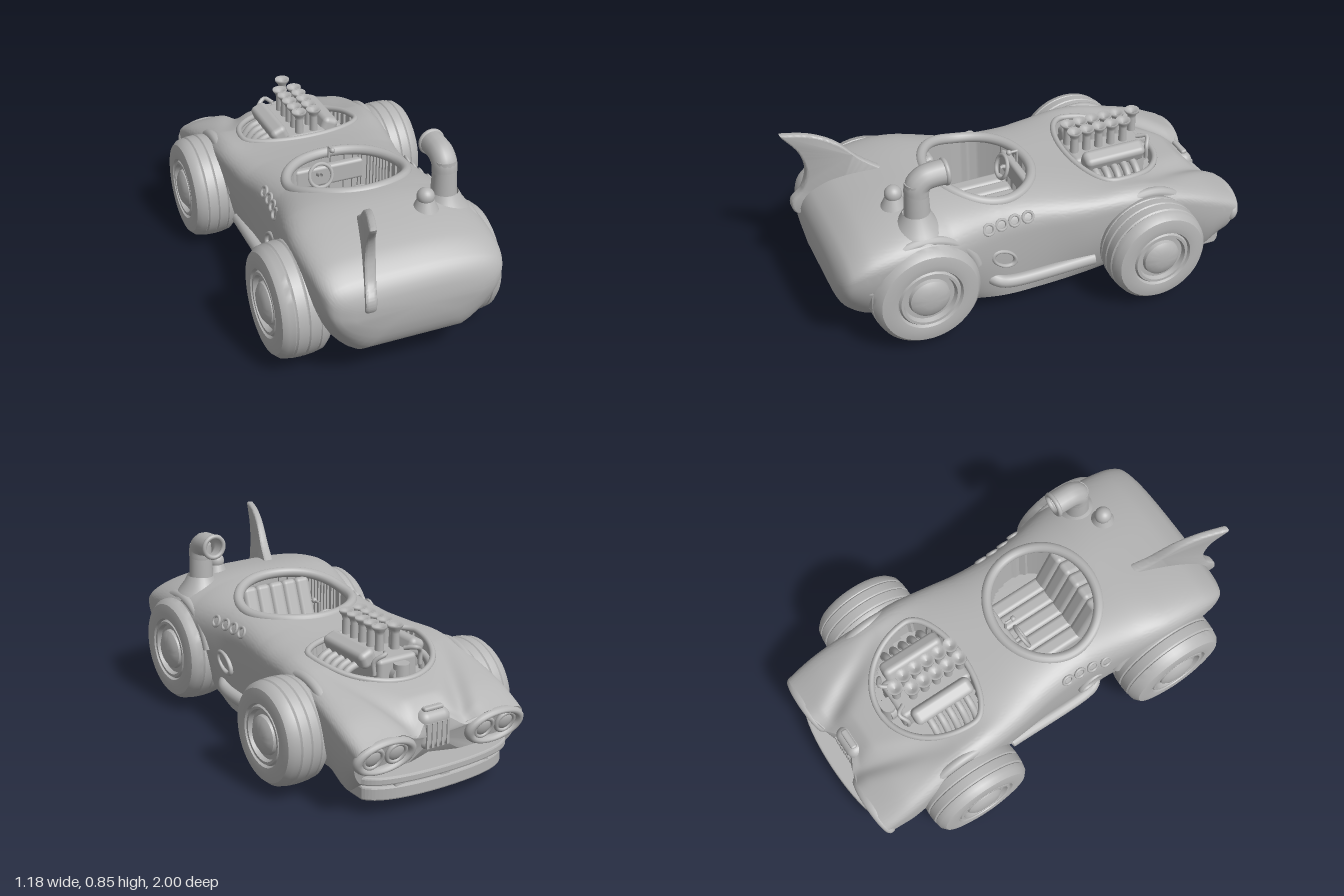
import * as THREE from 'three';
import { toCreasedNormals } from 'three/addons/utils/BufferGeometryUtils.js';
import { RoundedBoxGeometry } from 'three/addons/geometries/RoundedBoxGeometry.js';

const grey = new THREE.MeshStandardMaterial({ color: 0xb4b4b4, side: THREE.DoubleSide });
grey.name = 'plainGrey';
const V = (x, y, z) => new THREE.Vector3(x, y, z);
const { clamp, lerp } = THREE.MathUtils;

function add(parent, name, geometry, x = 0, y = 0, z = 0) {
  const m = new THREE.Mesh(geometry, grey);
  m.name = name;
  m.position.set(x, y, z);
  parent.add(m);
  return m;
}
const tube = (pts, r, closed = false, n = 48) =>
  new THREE.TubeGeometry(new THREE.CatmullRomCurve3(pts, closed), n, r, 14, closed);

// Hull stations: z, half width, bottom half width, bottom y, shoulder y, crown y
const HULL = [
  [-0.95, 0.43, 0.37, 0.15, 0.27, 0.355], [-0.8, 0.435, 0.37, 0.085, 0.32, 0.43],
  [-0.6, 0.425, 0.31, 0.08, 0.39, 0.488], [-0.4, 0.422, 0.31, 0.08, 0.41, 0.525],
  [-0.2, 0.4, 0.33, 0.08, 0.4, 0.543], [0, 0.372, 0.34, 0.08, 0.4, 0.568],
  [0.2, 0.372, 0.34, 0.085, 0.4, 0.595], [0.45, 0.42, 0.28, 0.09, 0.43, 0.63],
  [0.6, 0.435, 0.25, 0.09, 0.46, 0.622], [0.8, 0.425, 0.24, 0.11, 0.45, 0.575],
  [0.9, 0.4, 0.22, 0.17, 0.42, 0.515], [0.935, 0.36, 0.19, 0.23, 0.38, 0.47],
  [0.95, 0.29, 0.14, 0.29, 0.36, 0.43],
];
// Smooth interpolation between the stations
function station(z) {
  let i = 0;
  while (i < HULL.length - 2 && z > HULL[i + 1][0]) i++;
  const a = HULL[i], b = HULL[i + 1], h = b[0] - a[0], s = clamp((z - a[0]) / h, 0, 1);
  const p = HULL[i - 1] || a, q = HULL[i + 2] || b;
  return a.slice(1).map((v, k) => {
    const c = k + 1, w = b[c];
    const m0 = (w - p[c]) / (b[0] - p[0]) * h, m1 = (q[c] - v) / (q[0] - a[0]) * h;
    const s2 = s * s, s3 = s2 * s;
    return (2 * s3 - 3 * s2 + 1) * v + (s3 - 2 * s2 + s) * m0 + (3 * s2 - 2 * s3) * w + (s3 - s2) * m1;
  });
}
// Height of the upper skin: squarer over the front wheels and the rear right fender,
// with a bump over each front wheel and valleys converging on the nose
function topY(x, z) {
  const [w, , , ys, yt] = station(z);
  const t = Math.min(1, Math.abs(x / w));
  const fore = 3.3 + 1.2 * clamp((-z - 0.1) / 0.25, 0, 1);
  const p = lerp(fore, x < 0 ? 4.2 : 2.4, clamp((z - 0.2) / 0.25, 0, 1));
  const nose = clamp((-0.5 - z) / 0.4, 0, 1);
  const valley = 0.042 * nose * Math.exp(-(((t - lerp(0.72, 0.3, nose)) / 0.12) ** 2));
  const bump = 0.018 * Math.exp(-(((z + 0.48) / 0.16) ** 2) - ((t - 0.88) / 0.14) ** 2);
  return ys + (yt - ys) * Math.pow(1 - t ** p, 1 / p) - valley + bump * (1 - t ** 12);
}
const bayDepth = (z) => (z < -0.38 ? 0.315 : 0.125);
const inCockpit = (x, z) => (x / 0.27) ** 2 + ((z - 0.18) / 0.24) ** 2 < 1;
const inBay = (x, z) => (x / 0.285) ** 2 + ((z + 0.38) / bayDepth(z)) ** 2 < 1;

function hullRing(z) {
  const [w, b, y0, ys] = station(z), pts = [];
  const side = (s) => [b + (w - b) * Math.sin((s * Math.PI) / 2) ** 0.9, y0 + (ys - y0) * s ** 1.15];
  for (let i = 0; i < 8; i++) pts.push([-b + (2 * b * i) / 8, y0]);
  for (let i = 0; i < 10; i++) pts.push(side(i / 10));
  for (let i = 0; i <= 90; i++) {
    const x = w * Math.cos((Math.PI * i) / 90);
    pts.push([x, inCockpit(x, z) ? 0.29 : inBay(x, z) ? 0.39 : topY(x, z)]);
  }
  for (let i = 9; i >= 0; i--) { const [x, y] = side(i / 10); pts.push([-x, y]); }
  // the nose leans back at the bottom and is notched for the grille
  const k = clamp((-0.8 - z) / 0.15, 0, 1);
  return pts.map(([x, y]) => [x, y, z + k * (0.3 * Math.max(0, 0.34 - y) + 0.06 * Math.exp(-((x / 0.1) ** 4)))]);
}
function hullGeometry() {
  const pos = [], idx = [], rows = 160;
  let n = 0;
  for (let i = 0; i <= rows; i++) {
    const ring = hullRing(-0.95 + (1.9 * i) / rows);
    n = ring.length;
    ring.forEach((p) => pos.push(...p));
  }
  const front = (rows + 1) * n, back = front + 1;
  pos.push(0, 0.27, -0.89, 0, 0.36, 0.953);
  for (let j = 0; j < n; j++) {
    const k = (j + 1) % n;
    for (let i = 0; i < rows; i++) {
      const a = i * n + j, b = i * n + k;
      idx.push(a, b, b + n, a, b + n, a + n);
    }
    idx.push(front, k, j, back, rows * n + j, rows * n + k);
  }
  const g = new THREE.BufferGeometry();
  g.setAttribute('position', new THREE.Float32BufferAttribute(pos, 3));
  g.setIndex(idx);
  return toCreasedNormals(g, 0.7);
}

// Grooved tyre with a dished rim and domed hub, axle along y
function wheelGeometry(r, half) {
  const p = [[0, -0.8], [0.5, -0.9], [0.72, -1], [0.88, -0.92], [0.96, -0.72], [0.98, -0.5], [0.965, -0.46],
    [0.99, -0.4], [1, -0.05], [0.98, 0], [1, 0.05], [0.99, 0.4], [0.965, 0.46], [0.98, 0.5], [0.96, 0.72],
    [0.88, 0.92], [0.72, 1], [0.6, 0.96], [0.57, 0.84], [0.54, 0.94], [0.49, 0.94], [0.46, 0.76],
    [0.38, 0.76], [0.36, 0.9], [0.28, 1.02], [0.15, 1.08], [0, 1.1]];
  return toCreasedNormals(new THREE.LatheGeometry(p.map(([a, b]) => new THREE.Vector2(a * r, b * half)), 48), 0.6);
}

function buildEngine(car) {
  const engine = new THREE.Group();
  engine.name = 'engine';
  car.add(engine);
  add(engine, 'engineBlock', new RoundedBoxGeometry(0.2, 0.16, 0.36, 3, 0.02), 0, 0.46, -0.45);
  const trumpet = new THREE.LatheGeometry([[0.02, 0], [0.018, 0.07], [0.022, 0.085], [0.034, 0.1], [0.034, 0.11], [0.02, 0.1], [0, 0.09]]
    .map(([a, b]) => new THREE.Vector2(a, b)), 16);
  for (const s of [-1, 1]) {
    add(engine, 'valveCover', new RoundedBoxGeometry(0.08, 0.08, 0.3, 3, 0.025), s * 0.125, 0.54, -0.445).rotation.z = -s * 0.4;
    for (let i = 0; i < 5; i++) {
      add(engine, 'intakeTrumpet', trumpet, s * 0.036, 0.55, -0.29 - i * 0.062);
      const z = -0.34 - i * 0.048;
      add(engine, 'exhaustHeader', tube([V(s * 0.13, 0.51, z), V(s * 0.19, 0.49, z), V(s * 0.23, 0.44, z), V(s * 0.24, 0.39, z)], 0.017, false, 12));
    }
    add(engine, 'fuelLine', tube([V(s * 0.05, 0.56, -0.6), V(s * 0.08, 0.57, -0.64), V(s * 0.12, 0.54, -0.62), V(s * 0.12, 0.48, -0.62)], 0.01, false, 16));
  }
  add(engine, 'frontTrumpet', trumpet, 0, 0.57, -0.6);
  add(engine, 'distributor', new THREE.CylinderGeometry(0.035, 0.04, 0.12, 18), 0, 0.46, -0.65);
  add(engine, 'frontPulley', new THREE.CylinderGeometry(0.05, 0.05, 0.03, 20), 0, 0.46, -0.645).rotation.x = Math.PI / 2;
}

function buildCockpit(car) {
  const rim = [], bay = [];
  for (let i = 0; i < 40; i++) {
    const a = (i / 40) * Math.PI * 2, c = Math.cos(a), s = Math.sin(a);
    const x = 0.272 * c, z = 0.18 + 0.243 * s;
    rim.push(V(x, topY(x, z) - 0.01, z));
    const bx = 0.285 * c, bz = -0.38 + (s < 0 ? 0.315 : 0.125) * s;
    bay.push(V(bx, topY(bx, bz) - 0.003, bz));
  }
  add(car, 'cockpitRim', tube(rim, 0.024, true, 120));
  add(car, 'engineBayRim', tube(bay, 0.014, true, 120));
  // channelled bench seat
  const pad = new RoundedBoxGeometry(0.076, 0.09, 0.31, 4, 0.022);
  for (let i = 0; i < 5; i++) {
    const x = -0.144 + i * 0.072;
    add(car, 'seatCushion', pad, x, 0.335, 0.14);
    add(car, 'seatBack', pad, x, 0.44, 0.335).rotation.x = -1.22;
  }
  add(car, 'dashboard', new RoundedBoxGeometry(0.34, 0.1, 0.04, 2, 0.015), 0, 0.46, -0.025);
  add(car, 'steeringWheel', new THREE.TorusGeometry(0.055, 0.009, 8, 28), -0.06, 0.49, 0.03).rotation.x = -0.3;
  add(car, 'steeringColumn', tube([V(-0.06, 0.49, 0.03), V(-0.06, 0.475, -0.02)], 0.01, false, 4));
  add(car, 'mirrorStem', new THREE.CylinderGeometry(0.006, 0.006, 0.06, 10), 0, 0.575, -0.02);
  add(car, 'mirrorArm', tube([V(0, 0.602, -0.02), V(0, 0.602, 0.02)], 0.006, false, 4));
  add(car, 'mirrorKnob', new THREE.SphereGeometry(0.013, 14, 10), 0, 0.602, 0.02);
}

function buildNose(car) {
  // twin lamps in oval pods that lean forward at the top
  for (const s of [-1, 1]) {
    const pod = new THREE.Group();
    pod.name = 'headlightPod';
    pod.position.set(s * 0.285, 0.272, -0.93);
    pod.rotation.x = -0.3;
    car.add(pod);
    add(pod, 'headlightSurround', new THREE.TorusGeometry(0.133, 0.022, 12, 40)).scale.set(1, 0.56, 1);
    for (const x of [-0.058, 0.058]) {
      add(pod, 'headlightBezel', new THREE.TorusGeometry(0.046, 0.01, 10, 28), x, 0, 0);
      add(pod, 'headlight', new THREE.SphereGeometry(0.044, 20, 14), x, 0, 0.01).scale.z = 0.5;
    }
  }
  add(car, 'grilleCowl', new RoundedBoxGeometry(0.16, 0.17, 0.1, 4, 0.04), 0, 0.305, -0.86);
  for (let i = -2; i <= 2; i++) add(car, 'grilleBar', new THREE.BoxGeometry(0.012, 0.11, 0.012), i * 0.026, 0.29, -0.909);
  add(car, 'noseOrnament', new RoundedBoxGeometry(0.1, 0.02, 0.03, 2, 0.009), 0, 0.395, -0.87);

  // chin: layered slabs with a slot between the jaw and the lip
  const chinSlab = (name, inset, y, depth) => {
    const w = 0.37 - inset, f = 0.985 - inset, s = new THREE.Shape();
    s.moveTo(-w, 0.78);
    s.lineTo(-w, f - 0.09);
    s.bezierCurveTo(-w + 0.04, f - 0.02, -0.15, f, 0, f);
    s.bezierCurveTo(0.15, f, w - 0.04, f - 0.02, w, f - 0.09);
    s.lineTo(w, 0.78);
    const g = new THREE.ExtrudeGeometry(s, { depth, bevelThickness: 0.008, bevelSize: 0.008, bevelSegments: 2, curveSegments: 20 });
    add(car, name, g.rotateX(-Math.PI / 2), 0, y, 0);
  };
  chinSlab('chinJaw', 0.015, 0.082, 0.045);
  chinSlab('chinSlot', 0.04, 0.1, 0.07);
  chinSlab('chinLip', 0, 0.158, 0.02);
  for (const x of [-0.22, 0, 0.22]) {
    add(car, 'chinPost', new RoundedBoxGeometry(0.05, 0.06, 0.03, 2, 0.008), x, 0.14, -0.958 + x * x * 0.4);
  }
}

export function createModel() {
  const model = new THREE.Group();
  model.name = 'roadster';
  const car = new THREE.Group();
  car.name = 'body';
  car.position.x = -0.02;
  model.add(car);
  add(car, 'hull', hullGeometry());
  buildEngine(car);
  buildCockpit(car);
  buildNose(car);

  // side details
  for (const s of [-1, 1]) {
    for (let i = 0; i < 4; i++) {
      const z = 0.08 + i * 0.064;
      let x = 0.25;
      while (topY(s * x, z) > 0.5) x += 0.002;
      const vent = add(car, 'sideVent', new THREE.TorusGeometry(0.024, 0.007, 8, 20), s * x, 0.5, z);
      vent.rotation.set(0, Math.PI / 2, s * 0.4, 'ZYX');
    }
    add(car, 'sidePipe', tube([V(s * 0.32, 0.22, 0.27), V(s * 0.36, 0.2, 0.23), V(s * 0.37, 0.185, 0.18), V(s * 0.37, 0.185, -0.24)], 0.03));
    const scoop = add(car, 'sideScoop', new THREE.TorusGeometry(0.06, 0.012, 10, 28), s * 0.372, 0.32, 0.2);
    scoop.rotation.set(-0.6, Math.PI / 2, 0);
    scoop.scale.y = 0.6;
    // arches over the wheels, tucked into the fenders
    for (const [z, y, r] of [[0.58, 0.28, 0.252], [-0.49, 0.255, 0.23]]) {
      const arch = add(car, 'wheelArch', new THREE.TorusGeometry(r, 0.024, 12, 40, Math.PI * 0.84), s * 0.385, y, z);
      arch.rotation.set(0, Math.PI / 2, Math.PI * 0.08);
    }
  }

  // wheels: side, x, y, z, radius, half width
  for (const [s, x, y, z, r, h] of [[1, 0.465, 0.262, -0.475, 0.232, 0.107], [-1, -0.475, 0.245, -0.505, 0.242, 0.107],
    [1, 0.337, 0.28, 0.58, 0.25, 0.112], [-1, -0.46, 0.272, 0.575, 0.252, 0.118]]) {
    add(model, z < 0 ? 'frontWheel' : 'rearWheel', wheelGeometry(r, h), x, y, z).rotation.z = -s * Math.PI / 2;
  }

  // swept tail fin, angled outward and thicker towards its root
  const outline = new THREE.Shape();
  outline.moveTo(0.58, 0.6);
  outline.splineThru([[0.68, 0.66], [0.78, 0.75], [0.88, 0.792], [0.99, 0.8]].map((p) => new THREE.Vector2(...p)));
  outline.splineThru([[0.925, 0.72], [0.9, 0.62], [0.925, 0.52], [0.972, 0.455], [0.965, 0.405], [0.92, 0.4]].map((p) => new THREE.Vector2(...p)));
  outline.lineTo(0.8, 0.45);
  const fin = new THREE.ExtrudeGeometry(outline, { depth: 0.014, bevelThickness: 0.01, bevelSize: 0.01, bevelSegments: 3, curveSegments: 10 });
  fin.rotateY(-Math.PI / 2);
  const p = fin.attributes.position;
  for (let i = 0; i < p.count; i++) {
    const thick = 1 + clamp((0.8 - p.getY(i)) / 0.4, 0, 0.5);
    p.setX(i, (p.getX(i) + 0.007) * thick - 0.122 - 0.33 * (p.getZ(i) - 0.57));
  }
  add(model, 'tailFin', toCreasedNormals(fin, 0.6));

  // periscope pipe and beacon on the rear deck
  const base = [[0.125, 0], [0.1, 0.035], [0.078, 0.065], [0.06, 0.1]].map(([a, b]) => new THREE.Vector2(a, b));
  add(model, 'pipeBase', new THREE.LatheGeometry(base, 28), 0.268, 0.53, 0.57);
  add(model, 'pipeShaft', new THREE.CylinderGeometry(0.05, 0.058, 0.18, 28), 0.265, 0.69, 0.565);
  add(model, 'pipeElbow', tube([V(0.265, 0.72, 0.565), V(0.265, 0.76, 0.56), V(0.265, 0.788, 0.53), V(0.265, 0.796, 0.49), V(0.265, 0.797, 0.43)], 0.055));
  add(model, 'pipeMouth', new THREE.TorusGeometry(0.05, 0.011, 12, 28), 0.265, 0.797, 0.435);
  add(model, 'beaconBase', new THREE.CylinderGeometry(0.032, 0.06, 0.06, 24), 0.147, 0.625, 0.63);
  add(model, 'beacon', new THREE.SphereGeometry(0.039, 24, 16), 0.147, 0.66, 0.63);
  return model;
}
